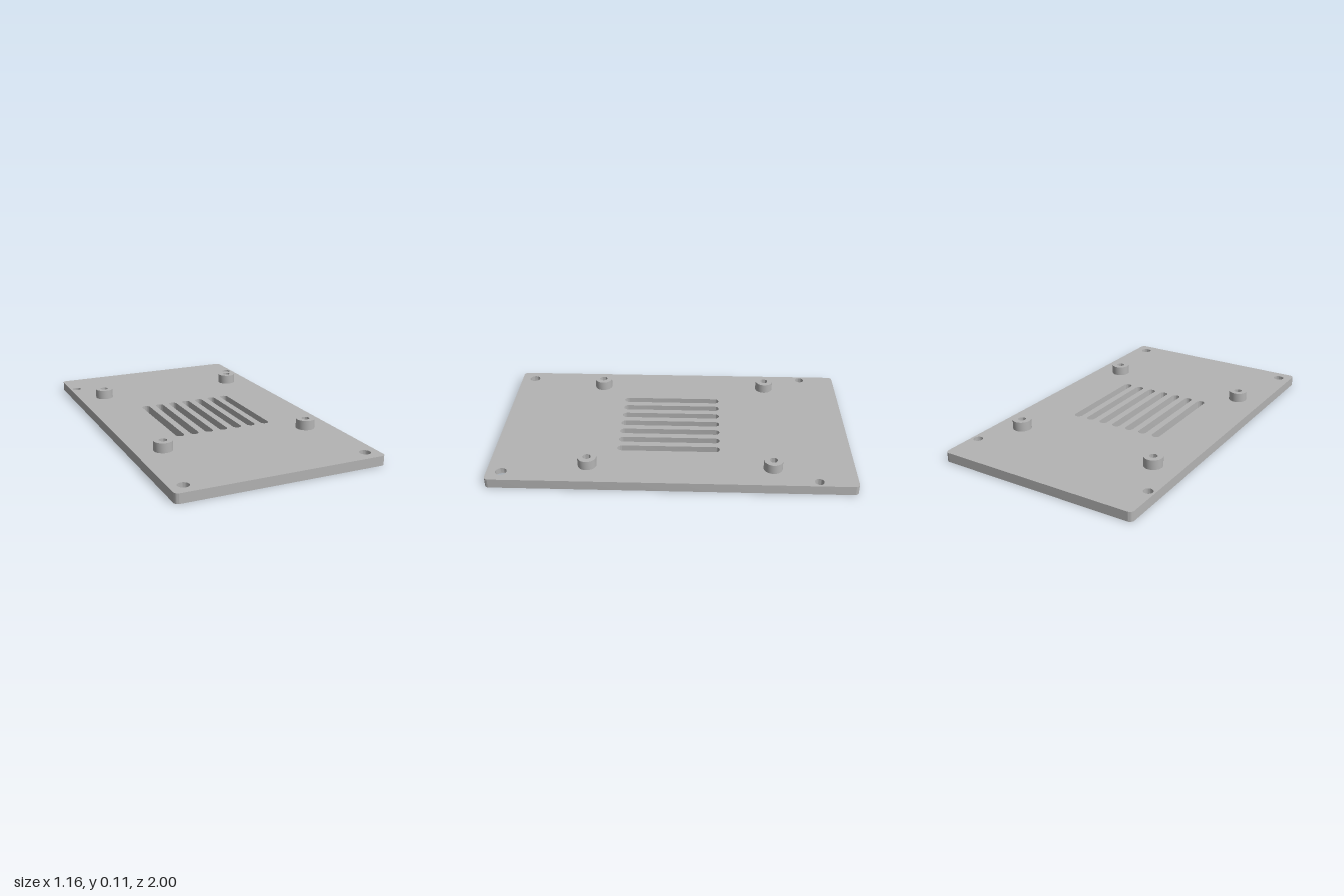
import * as THREE from 'three';
import { toCreasedNormals } from 'three/addons/utils/BufferGeometryUtils.js';

const HALF_W = 0.58, HALF_L = 1, THICK = 0.053, CORNER = 0.025;

// Round hole at plan position x, z
function roundHole(x, z, r) {
  const p = new THREE.Path();
  p.absarc(x, -z, r, 0, Math.PI * 2, true);
  return p;
}

// Slot with round ends, running along z
function slotHole(x, z0, z1, r) {
  const p = new THREE.Path();
  p.absarc(x, -z0 - r, r, 0, Math.PI, false);
  p.absarc(x, -z1 + r, r, Math.PI, Math.PI * 2, false);
  p.closePath();
  return p;
}

// Rounded rectangle outline
function plateOutline() {
  const w = HALF_W - CORNER, l = HALF_L - CORNER, q = Math.PI / 2;
  const s = new THREE.Shape();
  [[w, l], [-w, l], [-w, -l], [w, -l]].forEach(([x, y], i) =>
    s.absarc(x, y, CORNER, i * q, (i + 1) * q, false));
  s.closePath();
  return s;
}

// Extrude a plan shape upward from y = 0
function slab(shape, depth) {
  const g = new THREE.ExtrudeGeometry(shape, { depth, bevelEnabled: false, curveSegments: 16 });
  g.rotateX(-Math.PI / 2);
  return toCreasedNormals(g, 0.6);
}

export function createModel() {
  const model = new THREE.Group();
  model.name = 'ventedCoverPlate';
  const grey = new THREE.MeshStandardMaterial({ color: 0xb4b4b4 });
  grey.name = 'plain grey';

  const add = (name, geometry, x = 0, y = 0, z = 0) => {
    const mesh = new THREE.Mesh(geometry, grey);
    mesh.name = name;
    mesh.position.set(x, y, z);
    model.add(mesh);
  };

  // Plate with vent slots, small rear holes and wide front holes
  const outline = plateOutline();
  for (let i = -3; i <= 3; i++) outline.holes.push(slotHole(i * 0.087, -0.265, 0.312, 0.024));
  for (const s of [-1, 1]) {
    outline.holes.push(roundHole(s * 0.541, -0.79, 0.026));
    outline.holes.push(roundHole(s * 0.506, 0.92, 0.057));
  }
  add('plate', slab(outline, THICK));

  // Collars narrow the front holes in their upper half, leaving a recess below
  const ring = new THREE.Shape();
  ring.absarc(0, 0, 0.057, 0, Math.PI * 2, false);
  ring.holes.push(roundHole(0, 0, 0.031));
  const collar = slab(ring, THICK / 2);
  for (const s of [-1, 1]) add('screwHoleCollar', collar, s * 0.506, THICK / 2, 0.92);

  // Hollow mounting posts with blind screw holes
  const profile = [[0.052, 0], [0.052, 0.054], [0.022, 0.054], [0.022, 0.001], [0, 0.001]]
    .map(([r, y]) => new THREE.Vector2(r, y));
  const post = toCreasedNormals(new THREE.LatheGeometry(profile, 32), 0.6);
  for (const s of [-1, 1])
    for (const z of [-0.552, 0.462]) add('mountingPost', post, s * 0.427, THICK, z);

  return model;
}
